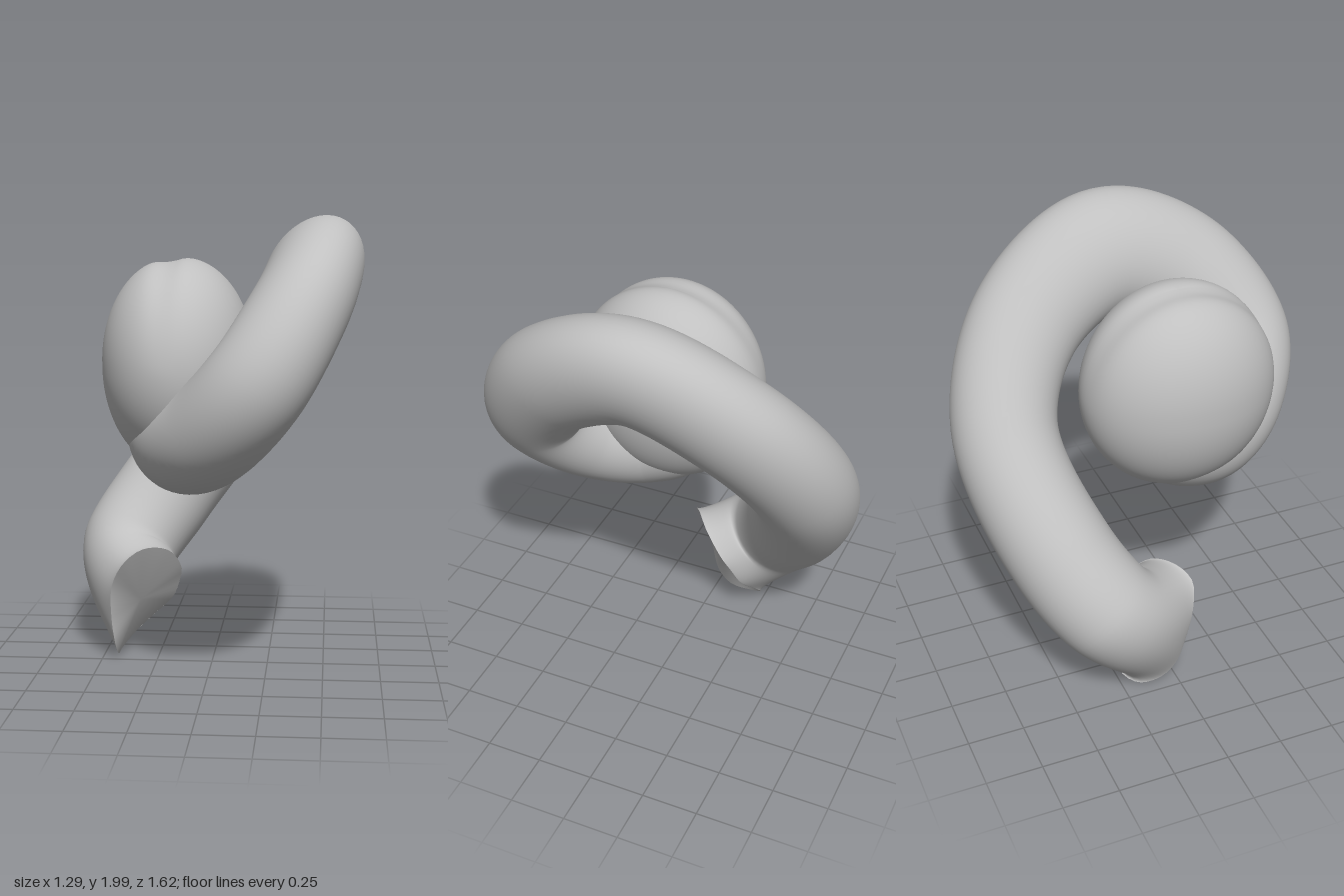
import * as THREE from 'three';

const V = (x, y, z) => new THREE.Vector3(x, y, z);
const SIDES = 48, RINGS = 160;

// Centre line from the mouth, up the back, over the top and into the curl:
// x, y, z, radius within the coil, radius across the coil
const PATH = [
  [-0.33, 0.27, -0.07, 0.20, 0.20],
  [-0.42, 0.42, -0.27, 0.23, 0.22],
  [-0.26, 0.69, -0.46, 0.235, 0.235],
  [0.10, 1.15, -0.58, 0.23, 0.22],
  [0.34, 1.52, -0.38, 0.25, 0.205],
  [0.44, 1.735, 0.02, 0.27, 0.20],
  [0.39, 1.60, 0.38, 0.255, 0.205],
  [0.22, 1.31, 0.585, 0.225, 0.215],
  [0.03, 1.10, 0.46, 0.23, 0.22],
  [-0.10, 1.05, 0.25, 0.23, 0.23],
  [-0.14, 1.13, 0.06, 0.20, 0.22],
  [-0.14, 1.28, 0.04, 0.12, 0.15],
];

// Slanted, twisted edge of the mouth
const RIM = [
  [-0.45, 0.20, 0.04], [-0.44, 0.36, 0.08], [-0.38, 0.47, 0.10], [-0.30, 0.52, 0.05],
  [-0.20, 0.50, -0.03], [-0.15, 0.40, -0.13], [-0.16, 0.34, -0.17], [-0.20, 0.24, -0.21],
  [-0.30, 0.14, -0.245], [-0.38, 0.06, -0.25], [-0.43, 0.005, -0.18], [-0.435, 0.005, -0.07],
  [-0.44, 0.07, 0.0],
];

function buildRings() {
  const curve = new THREE.CatmullRomCurve3(PATH.map(p => V(p[0], p[1], p[2])), false, 'centripetal');
  const radii = new THREE.CatmullRomCurve3(PATH.map(p => V(p[3], p[4], 0)), false, 'catmullrom');
  const across = V(0.86, -0.5, 0).normalize();
  const rings = [];
  for (let i = 0; i <= RINGS; i++) {
    const u = i / RINGS;
    const c = curve.getPoint(u), t = curve.getTangent(u), r = radii.getPoint(u);
    const out = t.clone().cross(across).normalize();
    const side = out.clone().cross(t).normalize();
    const ring = [];
    for (let j = 0; j < SIDES; j++) {
      const a = j / SIDES * Math.PI * 2;
      ring.push(c.clone().addScaledVector(out, Math.cos(a) * r.x).addScaledVector(side, Math.sin(a) * r.y));
    }
    rings.push(ring);
  }
  return rings;
}

// Rim points, ordered to match the first ring as closely as possible
function matchRim(ring) {
  const pts = new THREE.CatmullRomCurve3(RIM.map(p => V(...p)), true).getSpacedPoints(SIDES).slice(0, SIDES);
  let best = null, bestScore = Infinity;
  for (const dir of [1, -1]) {
    for (let s = 0; s < SIDES; s++) {
      const trial = ring.map((_, j) => pts[(s + dir * j + 2 * SIDES) % SIDES]);
      const score = trial.reduce((sum, p, j) => sum + p.distanceToSquared(ring[j]), 0);
      if (score < bestScore) { bestScore = score; best = trial; }
    }
  }
  return best;
}

function geometryFrom(points, index) {
  const g = new THREE.BufferGeometry().setFromPoints(points);
  g.setIndex(index);
  g.computeVertexNormals();
  return g;
}

// Rounded knob at the inner end of the curl, with a shallow groove over its top
function knobGeometry() {
  const g = new THREE.SphereGeometry(1, 64, 48);
  const p = g.attributes.position;
  for (let i = 0; i < p.count; i++) {
    const x = p.getX(i), y = p.getY(i), z = p.getZ(i);
    const groove = 1 - 0.04 * Math.exp(-(((x + 0.12) / 0.17) ** 2)) * Math.max(0, y);
    const full = 1 + 0.05 * Math.max(0, y) * Math.abs(x);
    p.setXYZ(i, -0.135 + 0.325 * x * full, 1.35 + 0.46 * y * groove * full, 0.12 + 0.43 * z * groove);
  }
  g.computeVertexNormals();
  // Keep the sphere's seam smooth
  const n = g.attributes.normal;
  for (let r = 0; r <= 48; r++) {
    const a = r * 65, b = a + 64;
    const m = V(n.getX(a) + n.getX(b), n.getY(a) + n.getY(b), n.getZ(a) + n.getZ(b)).normalize();
    n.setXYZ(a, m.x, m.y, m.z);
    n.setXYZ(b, m.x, m.y, m.z);
  }
  return g;
}

export function createModel() {
  const model = new THREE.Group();
  model.name = 'curledHorn';
  const grey = new THREE.MeshStandardMaterial({ color: 0xc0c0c0 });
  grey.name = 'plainGrey';
  const add = (name, geometry) => {
    const mesh = new THREE.Mesh(geometry, grey);
    mesh.name = name;
    model.add(mesh);
  };

  // Coiled tube, its first rings easing into the mouth edge
  const rings = buildRings();
  const rim = matchRim(rings[0]);
  const blend = Math.round(RINGS * 0.11);
  for (let i = 0; i < blend; i++) {
    const w = 1 - THREE.MathUtils.smoothstep(i / blend, 0, 1);
    rings[i].forEach((p, j) => p.lerp(rim[j], w));
  }
  const index = [];
  for (let i = 0; i < RINGS; i++) {
    for (let j = 0; j < SIDES; j++) {
      const k = (j + 1) % SIDES;
      const a = i * SIDES + j, b = i * SIDES + k, c = a + SIDES, d = b + SIDES;
      index.push(a, c, b, b, c, d);
    }
  }
  add('coiledTube', geometryFrom(rings.flat(), index));

  // Face closing the mouth
  const centre = rim.reduce((s, p) => s.add(p), V(0, 0, 0)).divideScalar(SIDES);
  const fan = [];
  for (let j = 0; j < SIDES; j++) fan.push(SIDES, j, (j + 1) % SIDES);
  add('mouthFace', geometryFrom([...rim, centre], fan));

  add('innerKnob', knobGeometry());
  return model;
}
